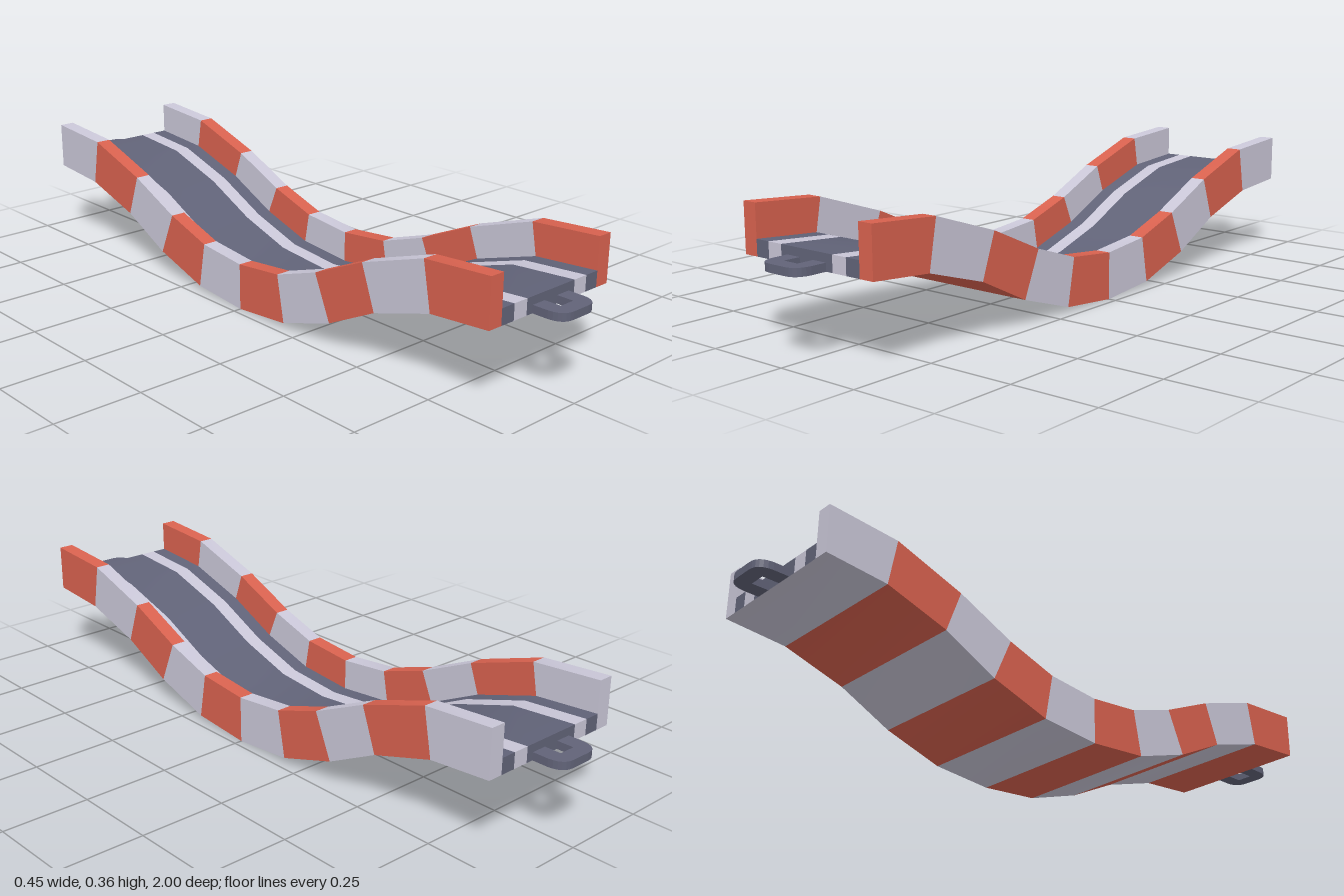
import * as THREE from 'three';

const red = new THREE.MeshStandardMaterial({ name: 'red', color: 0xd9624f });
const white = new THREE.MeshStandardMaterial({ name: 'white', color: 0xcac7d8 });
const grey = new THREE.MeshStandardMaterial({ name: 'slate grey', color: 0x616378 });

// Half of the dipped track: [bottom z, bottom y, wall top z, wall top y], end to middle
const half = [
  [0.91, 0.229, 0.91, 0.365], [0.725, 0.214, 0.70, 0.35], [0.535, 0.156, 0.49, 0.281],
  [0.37, 0.075, 0.315, 0.203], [0.187, 0.017, 0.162, 0.153], [0, 0.001, 0, 0.137],
];
const stations = [
  ...half,
  ...half.slice(0, -1).reverse().map(([bz, by, tz, ty]) => [-bz, by, -tz, ty]),
];
const DECK = 0.33; // deck height as a fraction of the wall height
const OUT = 0.227, INN = 0.183;

// Point on a station at height fraction f
function at(i, x, f) {
  const [bz, by, tz, ty] = stations[i];
  return [x, by + (ty - by) * f, bz + (tz - bz) * f];
}

function build(points, index) {
  const g = new THREE.BufferGeometry();
  g.setAttribute('position', new THREE.Float32BufferAttribute(points.flat(), 3));
  g.setIndex(index);
  g.computeVertexNormals();
  return g;
}

// Lengthwise strip between two profile points, smooth along the track
function strip(name, a, b, material) {
  const points = [], index = [];
  stations.forEach((_, i) => {
    points.push(at(i, ...a), at(i, ...b));
    const k = 2 * i;
    if (i < stations.length - 1) index.push(k, k + 1, k + 3, k, k + 3, k + 2);
  });
  const g = build(points, index);
  if (!material) {
    // alternating red and white blocks
    for (let i = 0; i < stations.length - 1; i++) g.addGroup(i * 6, 6, i % 2);
  }
  const mesh = new THREE.Mesh(g, material || [red, white]);
  mesh.name = name;
  return mesh;
}

// Flat end face of one column of the profile
function cap(name, x0, x1, f, front, material) {
  const i = front ? 0 : stations.length - 1;
  const points = [at(i, x0, 0), at(i, x1, 0), at(i, x1, f), at(i, x0, f)];
  const mesh = new THREE.Mesh(build(points, front ? [0, 1, 2, 0, 2, 3] : [0, 2, 1, 0, 3, 2]), material);
  mesh.name = name;
  return mesh;
}

// Rounded connector loop with a square hole
function connector(name, front) {
  const s = new THREE.Shape();
  s.moveTo(-0.069, 0);
  s.lineTo(-0.069, 0.045);
  s.quadraticCurveTo(-0.066, 0.09, -0.028, 0.09);
  s.lineTo(0.028, 0.09);
  s.quadraticCurveTo(0.066, 0.09, 0.069, 0.045);
  s.lineTo(0.069, 0);
  s.lineTo(0.024, 0);
  s.lineTo(0.024, 0.048);
  s.lineTo(-0.024, 0.048);
  s.lineTo(-0.024, 0);
  s.closePath();
  const g = new THREE.ExtrudeGeometry(s, { depth: 0.022, bevelEnabled: false, curveSegments: 6 });
  g.rotateX(Math.PI / 2);
  g.translate(0, 0.251, 0.91);
  if (!front) g.rotateY(Math.PI);
  const mesh = new THREE.Mesh(g, grey);
  mesh.name = name;
  return mesh;
}

export function createModel() {
  const model = new THREE.Group();
  model.name = 'dippedTrack';

  // Side walls and underside in alternating blocks
  model.add(
    strip('rightWallOuter', [-OUT, 0], [-OUT, 1]),
    strip('rightWallTop', [-OUT, 1], [-INN, 1]),
    strip('rightWallInner', [-INN, 1], [-INN, DECK]),
    strip('leftWallInner', [INN, DECK], [INN, 1]),
    strip('leftWallTop', [INN, 1], [OUT, 1]),
    strip('leftWallOuter', [OUT, 1], [OUT, 0]),
    strip('underside', [OUT, 0], [-OUT, 0]),
  );

  // Deck with two white lane stripes
  const xs = [-INN, -0.138, -0.091, 0.091, 0.138, INN];
  for (let i = 0; i < 5; i++) {
    const material = i % 2 ? white : grey;
    const name = i % 2 ? 'laneStripe' : 'deck';
    model.add(strip(name, [xs[i], DECK], [xs[i + 1], DECK], material));
    for (const front of [true, false]) model.add(cap(name + 'End', xs[i], xs[i + 1], DECK, front, material));
  }

  // Wall ends and connector loops
  for (const front of [true, false]) {
    const material = front ? red : white;
    model.add(
      cap('rightWallEnd', -OUT, -INN, 1, front, material),
      cap('leftWallEnd', INN, OUT, 1, front, material),
      connector(front ? 'frontConnector' : 'backConnector', front),
    );
  }
  return model;
}
